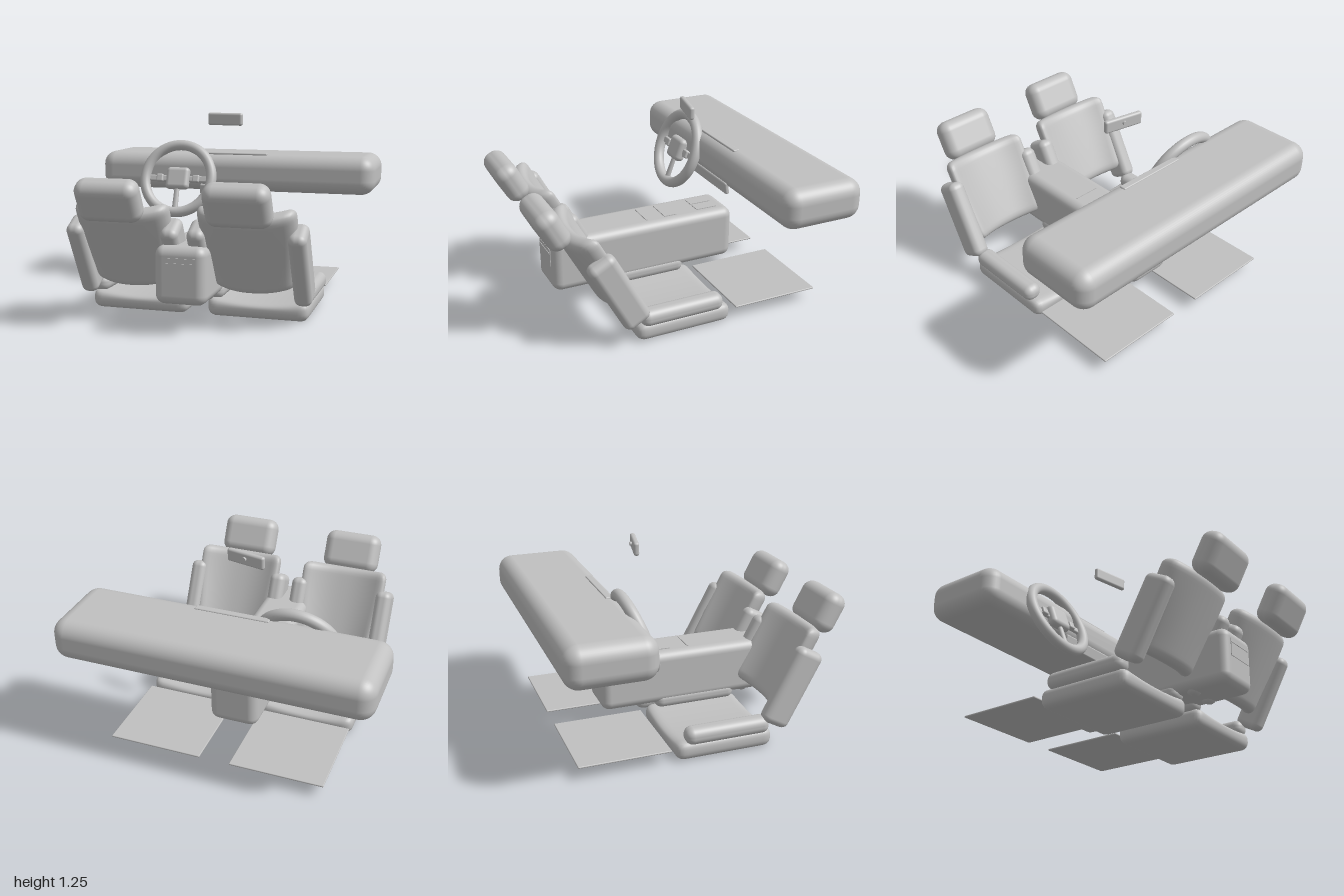
import * as THREE from 'three';
import { mergeVertices } from 'three/addons/utils/BufferGeometryUtils.js';
import { RoundedBoxGeometry } from 'three/addons/geometries/RoundedBoxGeometry.js';

const grey = new THREE.MeshStandardMaterial({ color: 0xc0c0c0 });
grey.name = 'grey trim';
const TILT = THREE.MathUtils.degToRad(28.5);

function add(parent, name, geometry, x, y, z) {
  const mesh = new THREE.Mesh(geometry, grey);
  mesh.name = name;
  mesh.position.set(x, y, z);
  parent.add(mesh);
  return mesh;
}

const rounded = (w, h, d, r) => new RoundedBoxGeometry(w, h, d, 5, r);

// Finely divided rounded box whose vertices are then shaped by a rule
function cushionGeometry(w, h, d, r, segments, shape) {
  let geo = new THREE.BoxGeometry(w, h, d, ...segments);
  geo.deleteAttribute('normal');
  geo.deleteAttribute('uv');
  geo = mergeVertices(geo);
  const pos = geo.attributes.position;
  const limit = new THREE.Vector3(w / 2 - r, h / 2 - r, d / 2 - r);
  const low = limit.clone().negate();
  const p = new THREE.Vector3(), core = new THREE.Vector3();
  for (let i = 0; i < pos.count; i++) {
    p.fromBufferAttribute(pos, i);
    core.copy(p).clamp(low, limit);
    p.sub(core).setLength(r).add(core);
    shape(p);
    pos.setXYZ(i, p.x, p.y, p.z);
  }
  geo.computeVertexNormals();
  return geo;
}

function createSeat() {
  const seat = new THREE.Group();
  seat.name = 'seat';

  // Base cushion, dished across the top
  add(seat, 'seatCushion', cushionGeometry(0.65, 0.13, 0.645, 0.055, [28, 8, 28], (p) => {
    const t = p.x / 0.325;
    if (p.y > 0) p.y -= 0.03 * (1 - t * t) * (p.y / 0.065);
  }), 0, 0.067, 0.088);

  // Backrest, wrapped forward at the sides and narrower at the bottom
  add(seat, 'backrest', cushionGeometry(0.6, 0.57, 0.11, 0.05, [28, 28, 8], (p) => {
    const t = Math.abs(p.x / 0.3);
    p.z -= 0.085 * Math.pow(t, 2.3);
    p.x *= THREE.MathUtils.lerp(0.88, 1, THREE.MathUtils.smoothstep(p.y, -0.28, 0.2));
  }), 0, 0.46, 0.628).rotation.x = TILT;

  // Headrest
  add(seat, 'headrest', rounded(0.395, 0.27, 0.155, 0.068), 0, 0.786, 0.868).rotation.x = TILT;

  // Side bolsters for the base and the back
  for (const s of [-1, 1]) {
    add(seat, 'cushionBolster', rounded(0.12, 0.11, 0.56, 0.05), s * 0.285, 0.16, 0.105);
    add(seat, 'backBolster', rounded(0.112, 0.53, 0.185, 0.045), s * 0.307, 0.39, 0.532).rotation.x = TILT;
  }
  return seat;
}

function createSteeringWheel() {
  const wheel = new THREE.Group();
  wheel.name = 'steeringWheel';
  add(wheel, 'wheelRim', new THREE.TorusGeometry(0.248, 0.037, 20, 64), 0, 0, 0);
  add(wheel, 'wheelHub', rounded(0.17, 0.16, 0.07, 0.03), 0, 0, 0);
  for (const s of [-1, 1]) {
    add(wheel, 'sideSpoke', rounded(0.17, 0.045, 0.025, 0.01), s * 0.15, 0, -0.01);
    add(wheel, 'spokeButtons', rounded(0.05, 0.055, 0.03, 0.01), s * 0.135, 0, 0.004);
  }
  const lower = add(wheel, 'lowerSpoke', new THREE.CylinderGeometry(0.018, 0.022, 0.18, 16), 0, -0.15, 0);
  lower.scale.z = 0.8;
  wheel.position.set(-0.39, 0.777, -0.393);
  wheel.rotation.x = THREE.MathUtils.degToRad(-20.5);
  return wheel;
}

export function createModel() {
  const model = new THREE.Group();
  model.name = 'carInterior';

  // Dashboard with its top rail and central panel
  add(model, 'dashboard', rounded(2, 0.265, 0.555, 0.095), 0, 0.822, -0.7025);
  add(model, 'dashRail', rounded(0.48, 0.016, 0.045, 0.007), 0, 0.954, -0.507);
  add(model, 'dashPanel', rounded(0.48, 0.085, 0.03, 0.012), 0, 0.697, -0.447).rotation.x = 0.15;

  // Centre console with thin top pads and rear vent
  add(model, 'console', rounded(0.325, 0.36, 1.295, 0.06), -0.002, 0.325, 0.1025);
  const pads = [[-0.05, -0.38, 0.08, 0.15], [0.045, -0.38, 0.08, 0.15], [0, -0.105, 0.18, 0.09], [0, 0.07, 0.18, 0.01]];
  for (const [x, z, w, d] of pads) {
    add(model, 'consolePad', new THREE.BoxGeometry(w, 0.008, d), x, 0.506, z);
  }
  add(model, 'rearVentUpper', new THREE.BoxGeometry(0.205, 0.025, 0.008), -0.002, 0.423, 0.75);
  add(model, 'rearVentLower', new THREE.BoxGeometry(0.205, 0.085, 0.008), -0.002, 0.362, 0.75);

  // Mirror, angled towards the driver, with its rear mount
  const mirror = new THREE.Group();
  mirror.name = 'rearViewMirror';
  add(mirror, 'mirrorHousing', rounded(0.262, 0.085, 0.035, 0.015), 0, 0, 0);
  const mount = add(mirror, 'mirrorMount', new THREE.CylinderGeometry(0.013, 0.013, 0.02, 16), 0, 0.005, -0.022);
  mount.rotation.x = Math.PI / 2;
  mirror.position.set(0, 1.212, -0.262);
  mirror.rotation.y = -0.21;
  model.add(mirror);

  model.add(createSteeringWheel());

  // Seats and floor mats on both sides
  for (const s of [-1, 1]) {
    const seat = createSeat();
    seat.position.x = s * 0.39;
    model.add(seat);
    add(model, 'floorMat', rounded(0.61, 0.012, 0.59, 0.005), s * 0.405, 0.09, -0.565);
  }
  return model;
}
